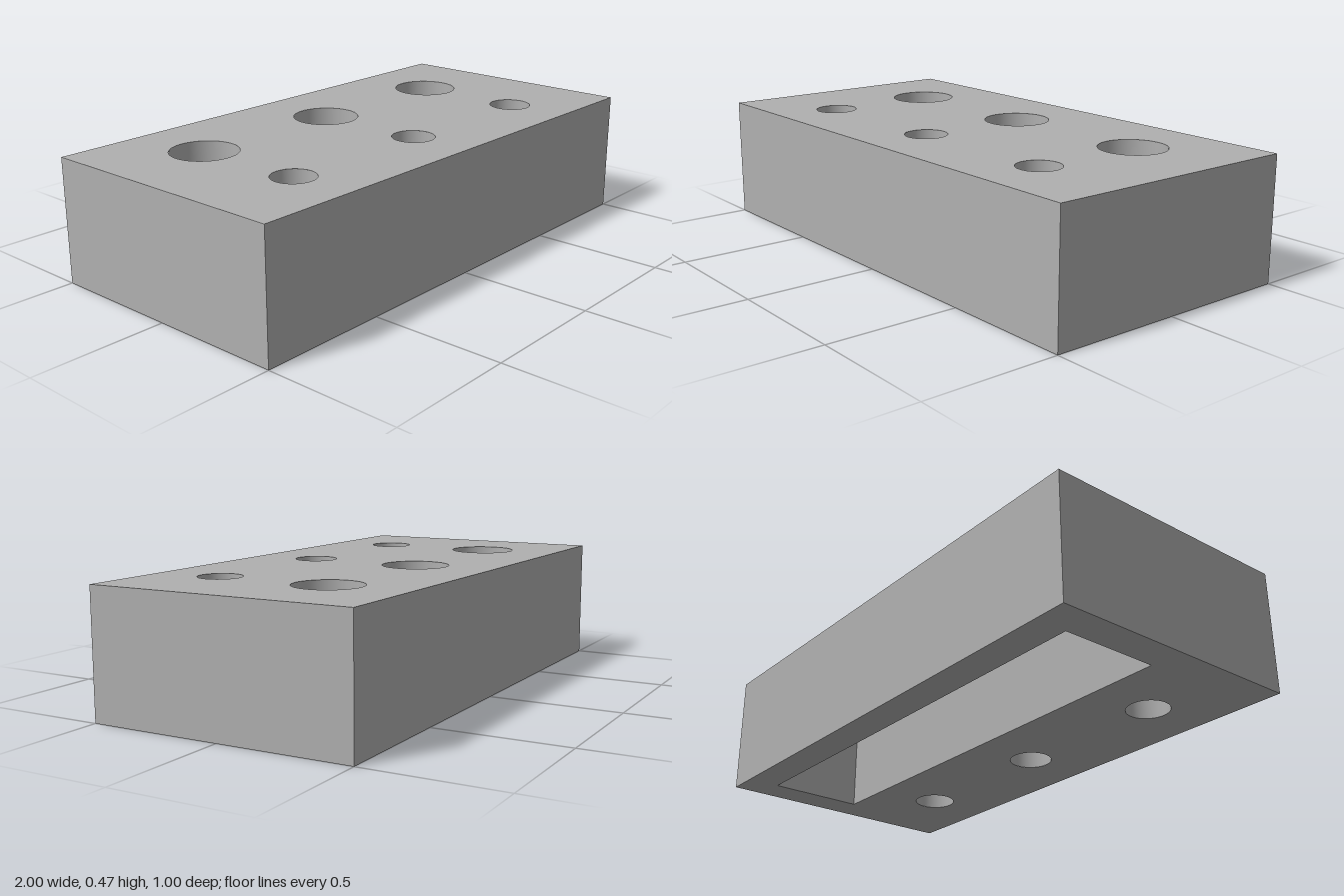
import * as THREE from 'three';
import { mergeGeometries } from 'three/addons/utils/BufferGeometryUtils.js';

const HEIGHT = 0.47;
const CEILING = 0.345; // underside of the plate above the pocket
const COLUMNS = [-0.625, 0, 0.625];
const LARGE = { r: 0.125, z: -0.1875 };
const SMALL = { r: 0.08, z: 0.25 };
const BODY = { x: 1, z0: -0.5, z1: 0.5 };
const POCKET = { x: 0.875, z0: -0.375, z1: 0 };

// Horizontal rectangle with cut-outs; dir is 1 facing up, -1 facing down
function plate(rect, y, dir, circles, cutRect) {
  const outline = (path, q) => {
    path.moveTo(-q.x, -q.z0 * dir);
    path.lineTo(q.x, -q.z0 * dir);
    path.lineTo(q.x, -q.z1 * dir);
    path.lineTo(-q.x, -q.z1 * dir);
    path.closePath();
    return path;
  };
  const shape = outline(new THREE.Shape(), rect);
  for (const c of circles) {
    for (const x of COLUMNS) {
      shape.holes.push(new THREE.Path().absarc(x, -c.z * dir, c.r, 0, Math.PI * 2));
    }
  }
  if (cutRect) shape.holes.push(outline(new THREE.Path(), cutRect));
  return new THREE.ShapeGeometry(shape, 48).rotateX(-dir * Math.PI / 2).translate(0, y, 0);
}

// Four upright walls on a rectangle; dir is 1 facing outward, -1 facing inward
function walls(rect, y0, y1, dir) {
  const depth = rect.z1 - rect.z0, midZ = (rect.z0 + rect.z1) / 2;
  const parts = [];
  for (let i = 0; i < 4; i++) {
    const alongX = i % 2 === 0;
    const angle = i * Math.PI / 2;
    const reach = (alongX ? depth / 2 : rect.x) * dir;
    parts.push(new THREE.PlaneGeometry(alongX ? rect.x * 2 : depth, y1 - y0)
      .translate(0, (y0 + y1) / 2, reach)
      .rotateY(angle)
      .translate(0, 0, midZ));
  }
  return mergeGeometries(parts);
}

export function createModel() {
  const group = new THREE.Group();
  const grey = new THREE.MeshStandardMaterial({ color: 0xb0b0b0 });
  grey.name = 'grey';
  const add = (name, geometry, x = 0, z = 0) => {
    const mesh = new THREE.Mesh(geometry, grey);
    mesh.name = name;
    mesh.position.set(x, 0, z);
    group.add(mesh);
  };

  // Block shell
  add('topFace', plate(BODY, HEIGHT, 1, [LARGE, SMALL]));
  add('bottomFace', plate(BODY, 0, -1, [SMALL], POCKET));
  add('outerWalls', walls(BODY, 0, HEIGHT, 1));

  // Pocket in the underside
  add('pocketWalls', walls(POCKET, 0, CEILING, -1));
  add('pocketCeiling', plate(POCKET, CEILING, -1, [LARGE]));

  // Bores, profiled from top to bottom so that they face inward
  const bore = (r, y0) => new THREE.LatheGeometry(
    [new THREE.Vector2(r, HEIGHT), new THREE.Vector2(r, y0)], 48);
  for (const x of COLUMNS) {
    add('largeBore', bore(LARGE.r, CEILING), x, LARGE.z);
    add('smallBore', bore(SMALL.r, 0), x, SMALL.z);
  }
  return group;
}
